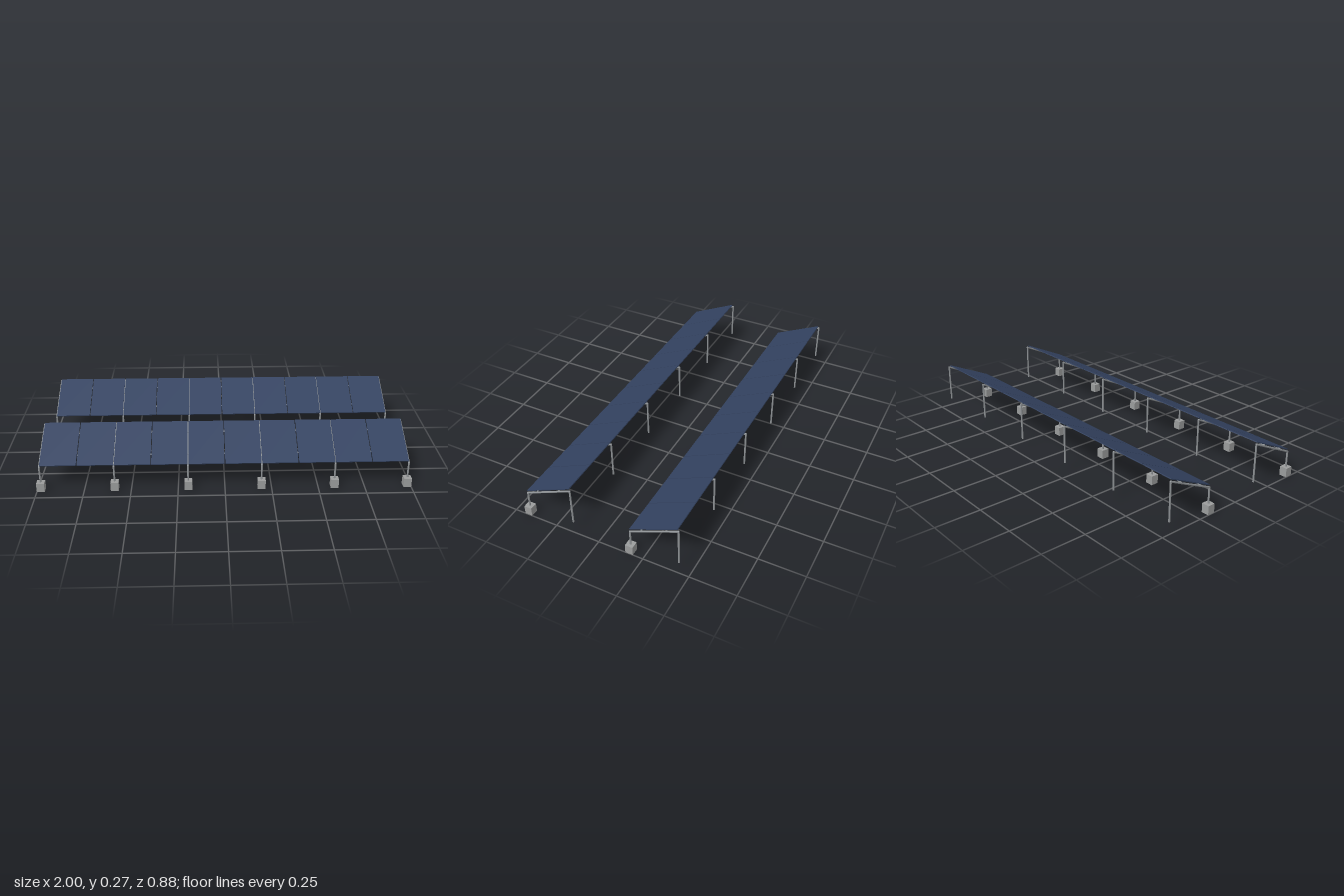
import * as THREE from 'three';

const TILT = THREE.MathUtils.degToRad(25);
const LOW = new THREE.Vector2(0.4215, 0.137); // z, y of the front beam end
const RUN = 0.264; // horizontal depth of one row
const HIGH = new THREE.Vector2(LOW.x - RUN, LOW.y + RUN * Math.tan(TILT));
const ROW_GAP = 0.595;
const HALF = 0.979;
const R = 0.005;

export function createModel() {
  const root = new THREE.Group();
  root.name = 'solarArray';
  const panelBlue = new THREE.MeshStandardMaterial({ color: 0x334260 });
  panelBlue.name = 'panelBlue';
  const steel = new THREE.MeshStandardMaterial({ color: 0x8e9295 });
  steel.name = 'steelGrey';
  const concrete = new THREE.MeshStandardMaterial({ color: 0x9b9d9d });
  concrete.name = 'concreteGrey';

  const add = (parent, name, geometry, material, x, y, z) => {
    const mesh = new THREE.Mesh(geometry, material);
    mesh.name = name;
    mesh.position.set(x, y, z);
    parent.add(mesh);
    return mesh;
  };

  // Round bar between two points
  const bar = (parent, name, a, b, radius) => {
    const dir = b.clone().sub(a);
    const mid = a.clone().add(b).multiplyScalar(0.5);
    const mesh = add(parent, name, new THREE.CylinderGeometry(radius, radius, dir.length(), 12), steel, mid.x, mid.y, mid.z);
    mesh.quaternion.setFromUnitVectors(new THREE.Vector3(0, 1, 0), dir.normalize());
  };

  // Point on the sloped plane: t along the beam, lift perpendicular to it
  const onSlope = (x, t, lift) => new THREE.Vector3(
    x,
    LOW.y + (HIGH.y - LOW.y) * t + lift * Math.cos(TILT),
    LOW.x - RUN * t + lift * Math.sin(TILT)
  );

  const footing = new THREE.BoxGeometry(0.042, 0.05, 0.042);
  const joint = new THREE.SphereGeometry(R, 12, 8);
  const pitch = (2 * HALF) / 10;
  const panel = new THREE.BoxGeometry(pitch - 0.004, 0.005, RUN / Math.cos(TILT) - 0.003);

  function makeRow(name) {
    const row = new THREE.Group();
    row.name = name;

    // Six support frames, each with a footing, two posts and a sloped beam
    for (let i = 0; i < 6; i++) {
      const x = -HALF + (i * 2 * HALF) / 5;
      const frame = new THREE.Group();
      frame.name = 'supportFrame';
      const low = onSlope(x, 0, 0), high = onSlope(x, 1, 0);
      add(frame, 'footing', footing, concrete, x, 0.025, LOW.x);
      bar(frame, 'frontPost', new THREE.Vector3(x, 0.05, low.z), low, R);
      bar(frame, 'rearPost', new THREE.Vector3(x, 0.05, high.z), high, R);
      bar(frame, 'slopedBeam', low, high, R);
      for (const p of [low, high]) add(frame, 'joint', joint, steel, p.x, p.y, p.z);
      row.add(frame);
    }

    // Two rails running the length of the row
    for (const t of [0.25, 0.76]) bar(row, 'rail', onSlope(-HALF, t, 0.006), onSlope(HALF, t, 0.006), 0.004);

    // Ten tilted panels
    for (let i = 0; i < 10; i++) {
      const p = onSlope(-HALF + pitch * (i + 0.5), 0.5, 0.0115);
      add(row, 'panel', panel, panelBlue, p.x, p.y, p.z).rotation.x = TILT;
    }
    return row;
  }

  const front = makeRow('frontRow');
  const rear = makeRow('rearRow');
  rear.position.z = -ROW_GAP;
  root.add(front, rear);
  return root;
}
